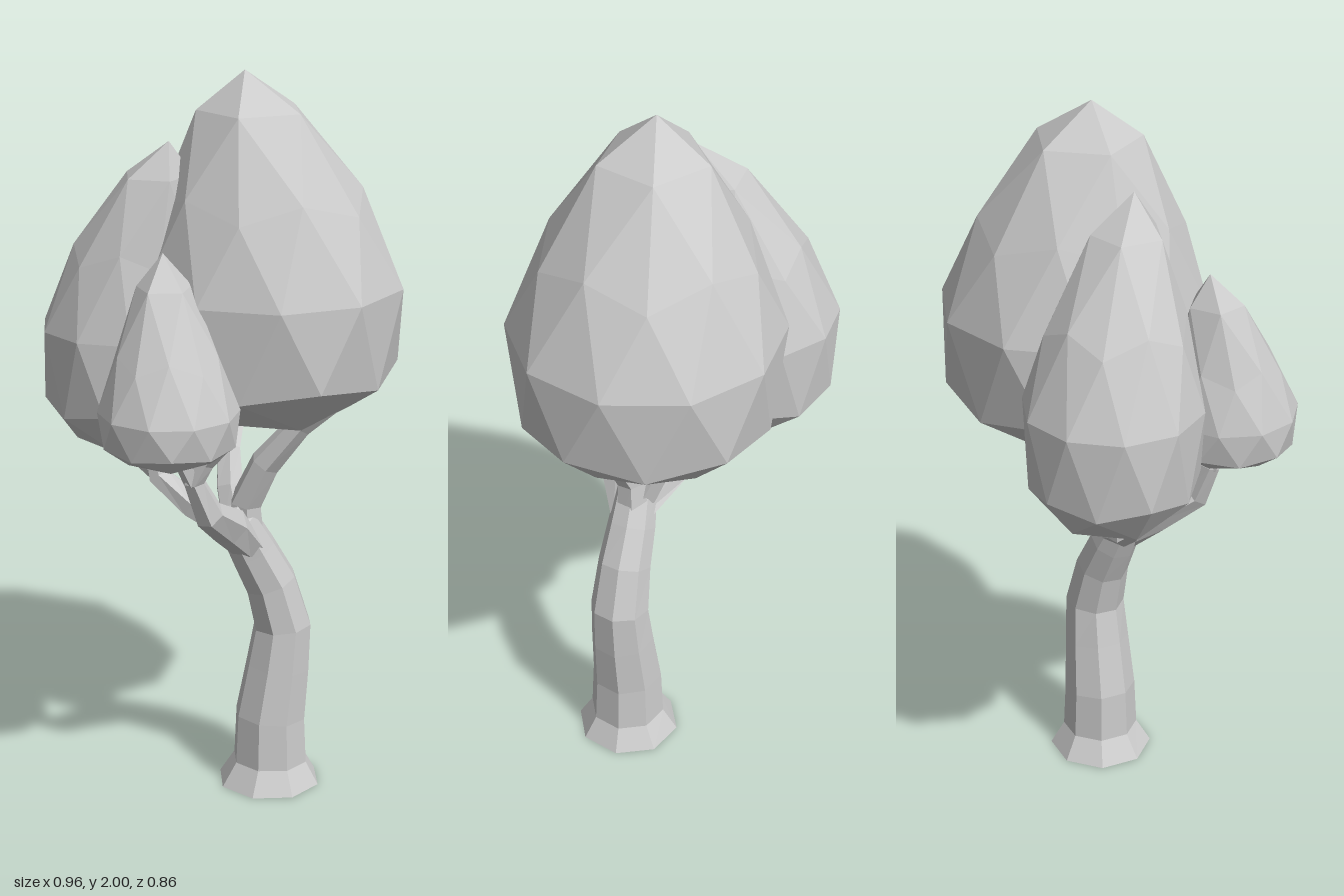
import * as THREE from 'three';

const leafMaterial = new THREE.MeshStandardMaterial({ color: 0xcccccc, flatShading: true });
const barkMaterial = new THREE.MeshStandardMaterial({
  color: 0xcccccc, flatShading: true, side: THREE.DoubleSide,
});

// Low-poly limb through points [x, y, z, radius], open at the foot, closed at the tip
function limb(name, points, sides) {
  const centres = points.map(p => new THREE.Vector3(p[0], p[1], p[2]));
  const up = new THREE.Vector3(0, 1, 0);
  const last = points.length - 1;
  const pos = [], index = [];
  centres.forEach((c, i) => {
    const tangent = i === 0 ? up.clone()
      : centres[Math.min(i + 1, last)].clone().sub(centres[i - 1]).normalize();
    const turn = new THREE.Quaternion().setFromUnitVectors(up, tangent);
    for (let s = 0; s < sides; s++) {
      const a = (s + 0.5) / sides * Math.PI * 2;
      const v = new THREE.Vector3(Math.cos(a), 0, -Math.sin(a))
        .multiplyScalar(points[i][3]).applyQuaternion(turn).add(c);
      pos.push(v.x, v.y, v.z);
    }
  });
  for (let i = 0; i < last; i++) {
    for (let s = 0; s < sides; s++) {
      const a = i * sides + s, b = i * sides + (s + 1) % sides;
      index.push(a, b, b + sides, a, b + sides, a + sides);
    }
  }
  const top = last * sides;
  for (let s = 1; s < sides - 1; s++) index.push(top, top + s, top + s + 1);
  const geo = new THREE.BufferGeometry();
  geo.setAttribute('position', new THREE.Float32BufferAttribute(pos, 3));
  geo.setIndex(index);
  const flat = geo.toNonIndexed();
  flat.computeVertexNormals();
  const mesh = new THREE.Mesh(flat, barkMaterial);
  mesh.name = name;
  return mesh;
}

// Teardrop leaf mass: pole-up icosphere with a tall leaning tip and a flattened underside
function crown(name, { centre, radius, rise, drop, lean, yaw, point }) {
  const geo = new THREE.IcosahedronGeometry(1, 1);
  geo.rotateZ(-Math.atan(2 / (1 + Math.sqrt(5))));
  geo.rotateY(yaw);
  const p = geo.attributes.position;
  for (let i = 0; i < p.count; i++) {
    const y = Math.abs(p.getY(i)) < 1e-4 ? 0 : p.getY(i);
    const r = radius * (1 - (y > 0 ? 0.27 : 0.17) * y);
    const shift = y > 0 ? y * y : 0;
    p.setXYZ(i,
      p.getX(i) * r + lean[0] * shift,
      y > 0 ? rise * y ** point : -drop * (-y) ** 0.72,
      p.getZ(i) * r + lean[1] * shift);
  }
  geo.computeVertexNormals();
  const mesh = new THREE.Mesh(geo, leafMaterial);
  mesh.position.set(...centre);
  mesh.name = name;
  return mesh;
}

export function createModel() {
  const tree = new THREE.Group();
  tree.name = 'tree';

  // Curved trunk with flared foot
  tree.add(limb('trunk', [
    [0.13, 0, 0, 0.145], [0.133, 0.065, 0, 0.106], [0.133, 0.2, 0, 0.1],
    [0.153, 0.35, 0, 0.09], [0.165, 0.47, 0, 0.082], [0.13, 0.6, 0.008, 0.074],
    [0.08, 0.7, 0.02, 0.067], [0.035, 0.79, 0.035, 0.058], [0.015, 0.83, 0.04, 0.035],
  ], 8));

  // Main branches
  const branches = {
    rightBranch: [[0.07, 0.7, 0.02, 0.05], [0.06, 0.84, 0.03, 0.046], [0.11, 0.96, 0.06, 0.042],
      [0.2, 1.08, 0.1, 0.034], [0.3, 1.15, 0.125, 0.02]],
    frontBranch: [[0.07, 0.7, 0.03, 0.055], [0.01, 0.8, 0.11, 0.055], [-0.05, 0.87, 0.21, 0.042],
      [-0.09, 0.97, 0.23, 0.03], [-0.06, 1.03, 0.245, 0.026], [0, 1.1, 0.28, 0.02]],
    leftBranch: [[0.06, 0.73, 0.02, 0.05], [-0.08, 0.815, -0.02, 0.04], [-0.17, 0.88, -0.085, 0.034],
      [-0.19, 0.99, -0.1, 0.025]],
    backBranch: [[0.04, 0.77, 0.02, 0.048], [0.02, 0.87, -0.02, 0.04], [0.02, 0.96, -0.07, 0.034],
      [0.04, 1.01, -0.14, 0.028], [0.06, 1.08, -0.17, 0.022]],
  };
  // Short forks near the branch ends
  const twigs = {
    rightTwig: [[0.2, 1.07, 0.1, 0.024], [0.22, 1.15, 0.07, 0.018]],
    frontTwig: [[-0.09, 0.96, 0.23, 0.026], [-0.12, 1.03, 0.25, 0.022], [-0.13, 1.08, 0.25, 0.016]],
    leftTwig: [[-0.16, 0.87, -0.08, 0.03], [-0.22, 0.92, -0.13, 0.025], [-0.25, 0.98, -0.15, 0.018]],
    backTwig: [[0.02, 0.96, -0.07, 0.028], [-0.03, 1.02, -0.12, 0.022], [-0.07, 1.07, -0.14, 0.018]],
  };
  for (const [name, pts] of Object.entries(branches)) tree.add(limb(name, pts, 6));
  for (const [name, pts] of Object.entries(twigs)) tree.add(limb(name, pts, 5));

  // Three leaf masses
  tree.add(crown('largeCrown', {
    centre: [0.13, 1.43, -0.07], radius: 0.363, rise: 0.57, drop: 0.4,
    lean: [-0.07, 0.02], yaw: Math.PI, point: 1.25,
  }));
  tree.add(crown('backCrown', {
    centre: [-0.25, 1.3, -0.135], radius: 0.237, rise: 0.52, drop: 0.36,
    lean: [0.11, 0.11], yaw: 0, point: 1.25,
  }));
  tree.add(crown('frontCrown', {
    centre: [-0.155, 1.17, 0.25], radius: 0.185, rise: 0.4, drop: 0.15,
    lean: [-0.01, -0.07], yaw: Math.PI / 10, point: 1.5,
  }));
  return tree;
}
